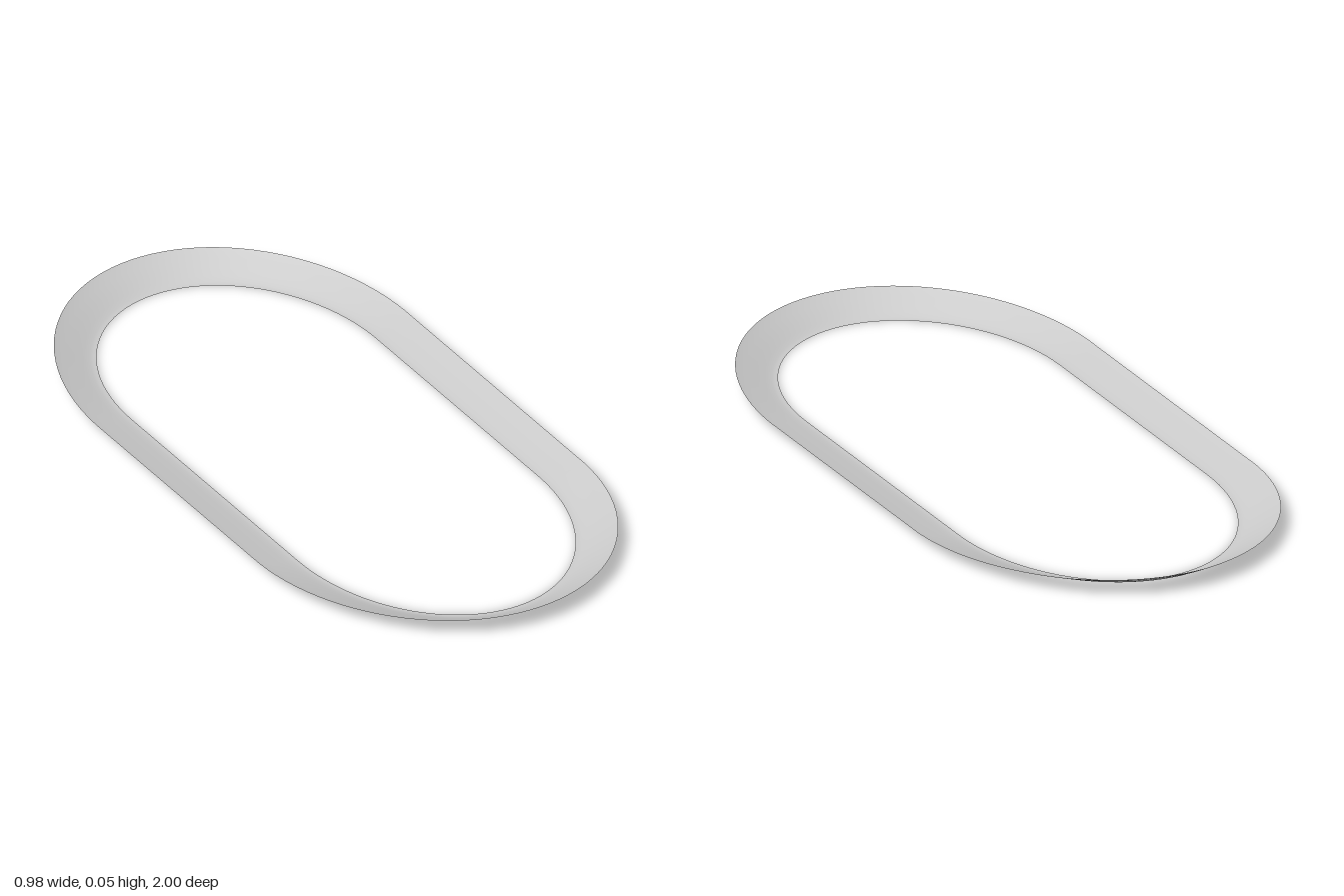
import * as THREE from 'three';

const STRAIGHT = 0.4;          // half length of the straights
const END_STEPS = 48;          // divisions of each rounded end
const SIDE_STEPS = 10;         // divisions of each straight
const INNER = { x: 0.375, z: 0.493 };
const OUTER = { x: 0.49, z: 0.6 };

// Banked cross-section: fraction across the width, fraction of the rise
const PROFILE = [[0, 0], [0.07, 0.01], [0.15, 0.05], [0.3, 0.19], [0.5, 0.41], [0.75, 0.69], [0.92, 0.89], [1, 1]];

// Stations round the oval: angle of the end curve and z of its centre
function stations() {
  const list = [];
  for (const side of [1, -1]) {
    const start = side > 0 ? 0 : Math.PI;
    for (let i = 0; i <= END_STEPS; i++) {
      list.push({ a: start + Math.PI * i / END_STEPS, zc: side * STRAIGHT });
    }
    for (let i = 1; i < SIDE_STEPS; i++) {
      list.push({ a: start + Math.PI, zc: side * STRAIGHT * (1 - 2 * i / SIDE_STEPS) });
    }
  }
  return list;
}

// Ribbon whose banking grows from the straights to the middle of each end
function trackGeometry() {
  const rings = stations();
  const n = PROFILE.length;
  const positions = [];
  const indices = [];
  for (const { a, zc } of rings) {
    const bend = Math.abs(Math.sin(a));
    const low = 0.005 * (1 - bend);
    const high = 0.031 + 0.022 * bend;
    for (const [t, h] of PROFILE) {
      positions.push(
        Math.cos(a) * THREE.MathUtils.lerp(INNER.x, OUTER.x, t),
        THREE.MathUtils.lerp(low, high, h),
        zc + Math.sin(a) * THREE.MathUtils.lerp(INNER.z, OUTER.z, t)
      );
    }
  }
  for (let i = 0; i < rings.length; i++) {
    const j = (i + 1) % rings.length;
    for (let k = 0; k < n - 1; k++) {
      const p = i * n + k, q = j * n + k;
      indices.push(p, q, p + 1, q, q + 1, p + 1);
    }
  }
  const geometry = new THREE.BufferGeometry();
  geometry.setAttribute('position', new THREE.Float32BufferAttribute(positions, 3));
  geometry.setIndex(indices);
  geometry.computeVertexNormals();
  return geometry;
}

export function createModel() {
  const group = new THREE.Group();
  group.name = 'ovalTrack';
  const material = new THREE.MeshStandardMaterial({ color: 0xcccccc, side: THREE.DoubleSide });
  const track = new THREE.Mesh(trackGeometry(), material);
  track.name = 'bankedTrackSurface';
  group.add(track);
  return group;
}
